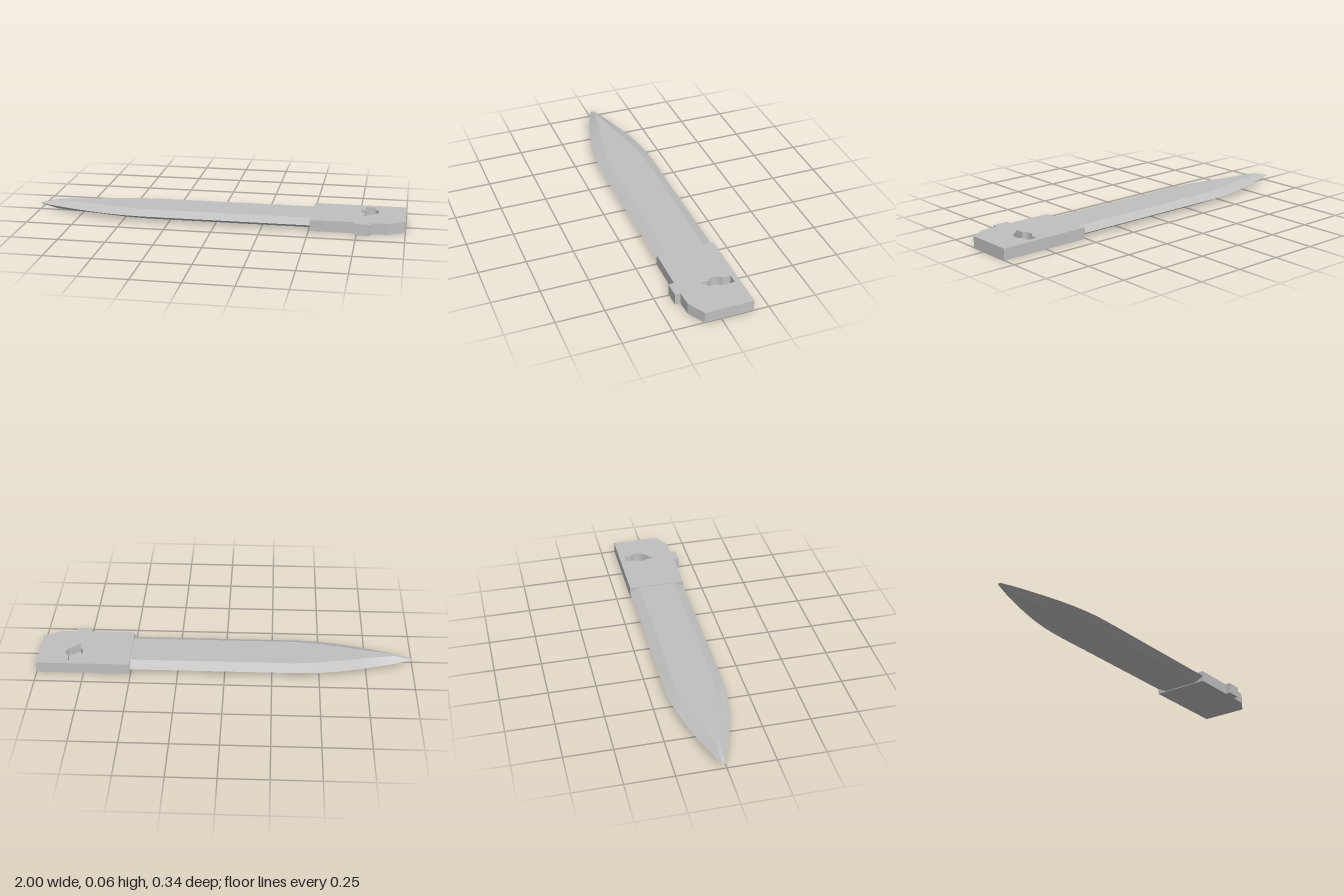
import * as THREE from 'three';

const MID_Z = -0.015; // centre line of the blade
const MID_Y = 0.03;

// Blade stations: x, half width, half width of the flat, half thickness
const STATIONS = [
  [-1, 0.009, 0.009, 0],
  [-0.95, 0.029, 0.008, 0.013],
  [-0.9, 0.048, 0.01, 0.025],
  [-0.8, 0.08, 0.028, 0.026],
  [-0.7, 0.109, 0.047, 0.026],
  [-0.6, 0.132, 0.068, 0.026],
  [-0.5, 0.147, 0.088, 0.026],
  [-0.43, 0.153, 0.097, 0.026],
  [-0.36, 0.155, 0.102, 0.026],
  [0.52, 0.155, 0.102, 0.026],
];

// Six lengthwise strips, smooth along the blade and creased between strips
function bladeGeometry() {
  const rings = STATIONS.map(([x, w, f, t]) =>
    [[w, 0], [f, t], [-f, t], [-w, 0], [-f, -t], [f, -t]]
      .map(([z, y]) => [x, MID_Y + y, MID_Z + z]));
  const positions = [], index = [];
  for (let s = 0; s < 6; s++) {
    rings.forEach((ring, i) => {
      const a = positions.length / 3;
      positions.push(...ring[s], ...ring[(s + 1) % 6]);
      if (i < rings.length - 1) index.push(a, a + 2, a + 1, a + 1, a + 2, a + 3);
    });
  }
  const geometry = new THREE.BufferGeometry();
  geometry.setAttribute('position', new THREE.Float32BufferAttribute(positions, 3));
  geometry.setIndex(index);
  geometry.computeVertexNormals();
  return geometry;
}

// Plan outline of the handle, given as x, z
function handleShape() {
  const outline = [
    [0.505, 0.14], [0.74, 0.14], [0.74, 0.169], [0.825, 0.169], [0.825, 0.14],
    [0.91, 0.137], [1, 0.086], [1, -0.17], [0.505, -0.17],
  ];
  return new THREE.Shape(outline.map(([x, z]) => new THREE.Vector2(x, -z)));
}

// Round socket with a narrow slot through it
function socketPath() {
  const cx = 0.81, cy = 0.06, r = 0.046, w = 0.026, h = 0.081;
  const a = Math.acos(w / r);
  const path = new THREE.Path();
  path.moveTo(cx + w, cy - h);
  path.absarc(cx, cy, r, -a, a, false);
  path.lineTo(cx + w, cy + h);
  path.lineTo(cx - w, cy + h);
  path.absarc(cx, cy, r, Math.PI - a, Math.PI + a, false);
  path.lineTo(cx - w, cy - h);
  path.closePath();
  return path;
}

function slab(shape, bottom, top) {
  const geometry = new THREE.ExtrudeGeometry(shape, {
    depth: top - bottom, bevelEnabled: false, curveSegments: 6,
  });
  return geometry.rotateX(-Math.PI / 2).translate(0, bottom, 0);
}

export function createModel() {
  const model = new THREE.Group();
  model.name = 'bladeAndHandle';
  const steel = new THREE.MeshStandardMaterial({ color: 0xc0c0c0 });
  steel.name = 'grey steel';

  const add = (name, geometry) => {
    const mesh = new THREE.Mesh(geometry, steel);
    mesh.name = name;
    model.add(mesh);
  };

  add('blade', bladeGeometry());

  // Handle body with the socket, closed underneath by a thin base
  const body = handleShape();
  body.holes.push(socketPath());
  add('handleBody', slab(body, 0.01, 0.06));
  add('handleBase', slab(handleShape(), 0, 0.01));
  return model;
}
